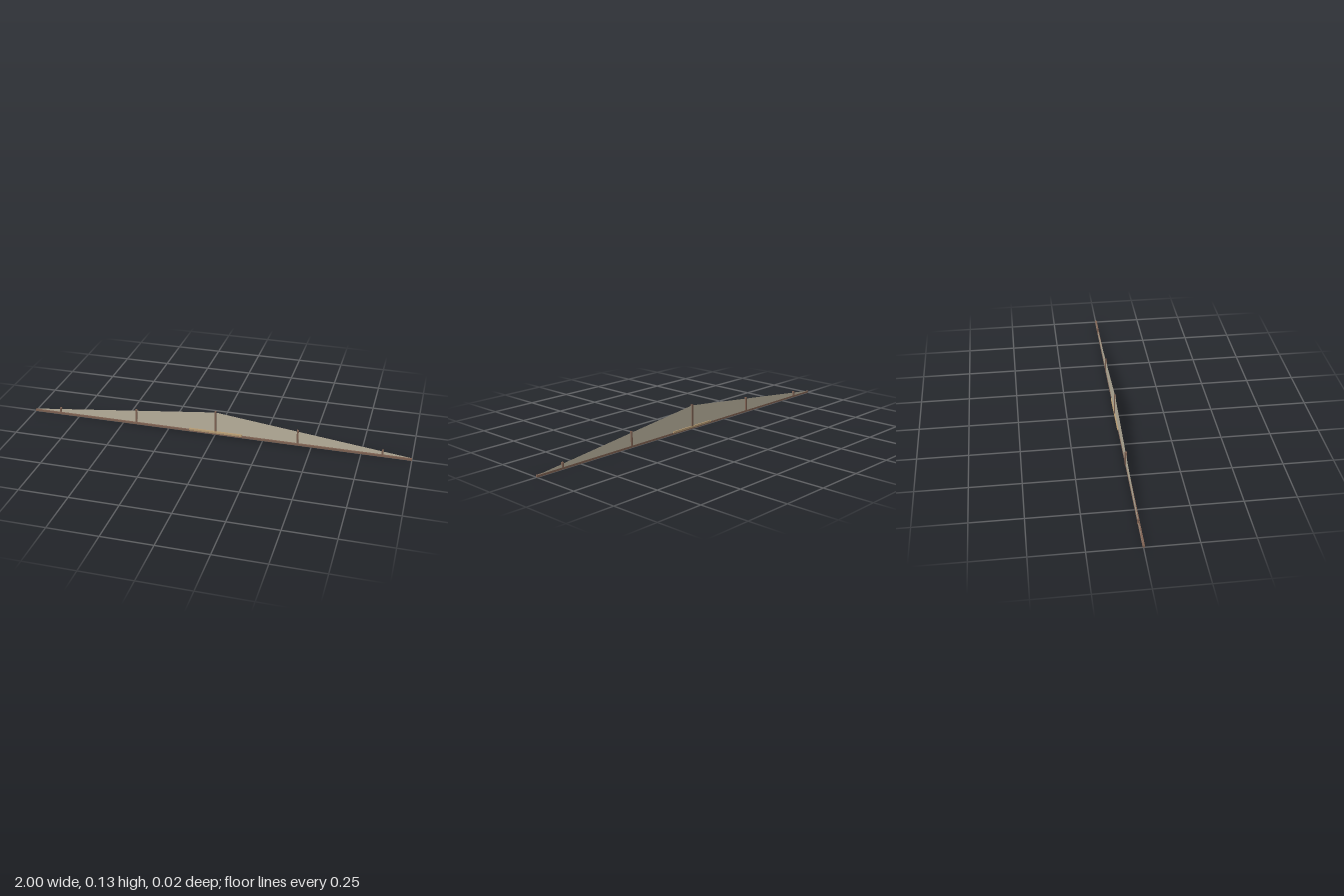
import * as THREE from 'three';

const material = (color, side = THREE.FrontSide) => new THREE.MeshStandardMaterial({ color, side });

export function createModel() {
  const model = new THREE.Group();
  const wood = material(0x7d6152);
  const tan = material(0xb59a72);
  const canvas = material(0xb8b09c, THREE.DoubleSide);

  // Box given by its centre in x and z and its bottom and top heights
  const addBox = (name, mat, width, depth, bottom, top, x, z) => {
    const mesh = new THREE.Mesh(new THREE.BoxGeometry(width, top - bottom, depth), mat);
    mesh.name = name;
    mesh.position.set(x, (bottom + top) / 2, z);
    model.add(mesh);
  };

  // Long base beam and the short plank across its middle
  addBox('baseBeam', wood, 2, 0.01, 0, 0.01, 0, 0.001);
  addBox('centrePlank', tan, 0.28, 0.017, 0.008, 0.017, 0, 0);

  // Posts, shorter towards both ends
  const postZ = -0.0027;
  for (const [x, top] of [[-0.855, 0.035], [-0.428, 0.084], [0, 0.13], [0.428, 0.084], [0.855, 0.035]]) {
    addBox('post', wood, 0.009, 0.01, 0.01, top, x, postZ);
  }

  // Thin triangular panel stretched along the posts
  const outline = new THREE.Shape([
    new THREE.Vector2(-1, 0.01),
    new THREE.Vector2(1, 0.01),
    new THREE.Vector2(0, 0.125),
  ]);
  const panel = new THREE.Mesh(new THREE.ShapeGeometry(outline), canvas);
  panel.name = 'panel';
  panel.position.z = postZ;
  model.add(panel);

  return model;
}
